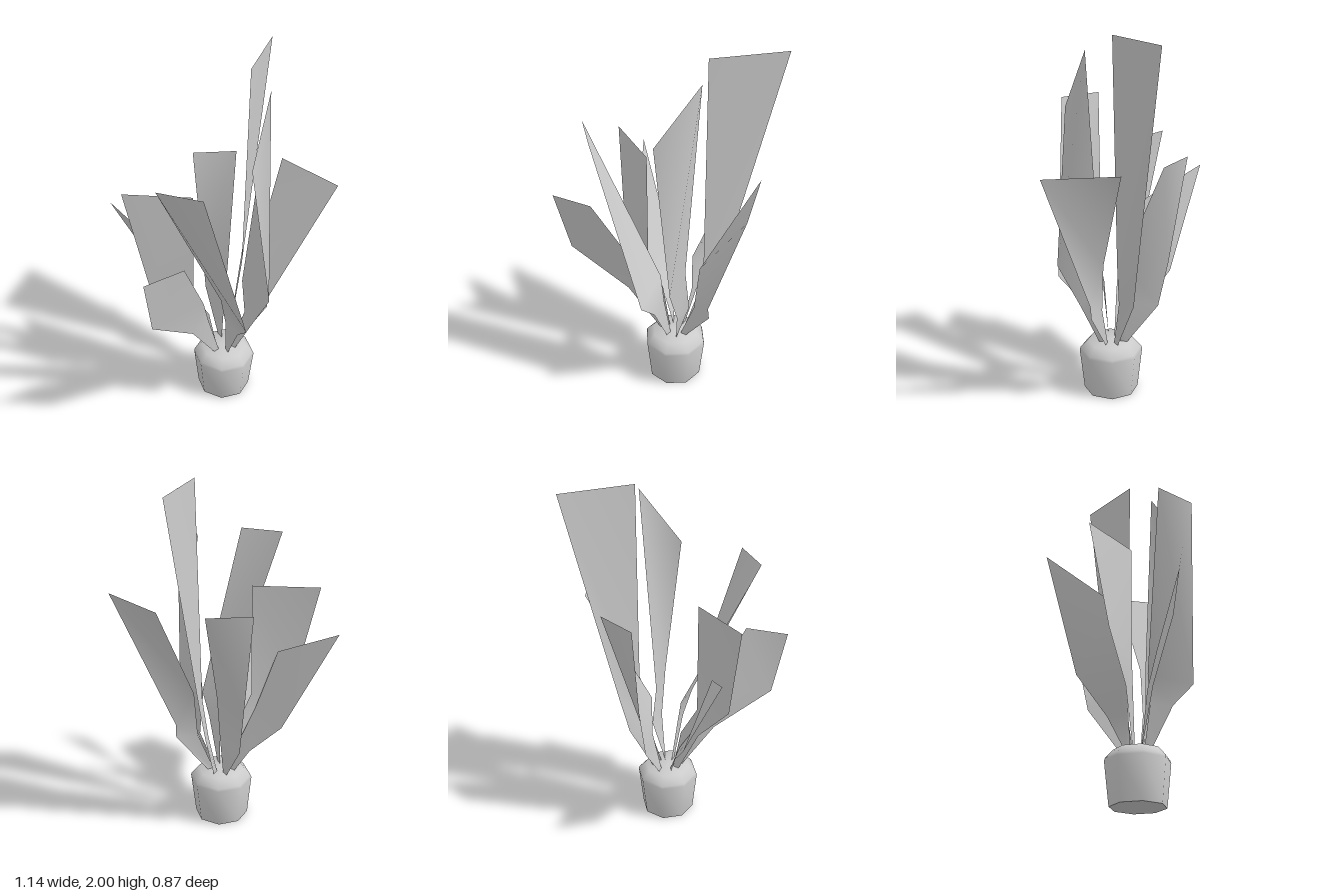
import * as THREE from 'three';
import { toCreasedNormals } from 'three/addons/utils/BufferGeometryUtils.js';

const potX = 0.075, potZ = 0.09;
const grey = new THREE.MeshStandardMaterial({ color: 0xcccccc });
const leafGrey = new THREE.MeshStandardMaterial({ color: 0xcccccc, side: THREE.DoubleSide });

// A leaf blade is a ribbon: each row holds its two edge points [x,y,z, x,y,z], root to tip
function leaf(name, rows) {
  const index = [];
  for (let i = 0; i < rows.length - 1; i++) {
    const a = i * 2;
    index.push(a, a + 1, a + 3, a, a + 3, a + 2);
  }
  const geometry = new THREE.BufferGeometry();
  geometry.setAttribute('position', new THREE.Float32BufferAttribute(rows.flat(), 3));
  geometry.setIndex(index);
  geometry.computeVertexNormals();
  const mesh = new THREE.Mesh(geometry, leafGrey);
  mesh.name = name;
  return mesh;
}

export function createModel() {
  const plant = new THREE.Group();
  plant.name = 'pottedPlant';

  // Eight-sided pot with a bevelled rim
  const profile = [[0, 0], [0.15, 0], [0.175, 0.235], [0.17, 0.25], [0.13, 0.295], [0, 0.295]]
    .map(([r, y]) => new THREE.Vector2(r, y));
  const pot = new THREE.Mesh(toCreasedNormals(new THREE.LatheGeometry(profile, 8), 0.95), grey);
  pot.name = 'pot';
  pot.position.set(potX, 0, potZ);
  plant.add(pot);

  // Blades fanning out around the pot, each standing edge-on to the centre at its root
  const blades = {
    tallRightLeaf: [
      [0.115, 0.28, 0.075, 0.15, 0.28, 0.06],
      [0.195, 0.56, 0.05, 0.27, 0.58, -0.025],
      [0.225, 0.80, 0.06, 0.32, 0.80, -0.04],
      [0.228, 2.00, 0.08, 0.57, 2.00, -0.13]],
    tallFrontLeaf: [
      [0.10, 0.28, 0.15, 0.09, 0.28, 0.12],
      [0.14, 0.53, 0.255, 0.175, 0.53, 0.15],
      [0.14, 0.77, 0.375, 0.15, 0.77, 0.148],
      [0.035, 1.61, 0.316, 0.24, 1.93, 0.212]],
    frontLeftLeaf: [
      [0.05, 0.28, 0.15, 0.06, 0.28, 0.12],
      [0.015, 0.53, 0.27, 0.03, 0.53, 0.15],
      [-0.02, 0.64, 0.375, 0.005, 0.70, 0.136],
      [-0.29, 1.59, 0.34, -0.414, 1.59, 0.135]],
    lowLeftLeaf: [
      [0.0, 0.28, 0.10, 0.03, 0.28, 0.10],
      [-0.19, 0.56, 0.13, -0.07, 0.58, 0.12],
      [-0.50, 0.81, 0.18, -0.14, 0.77, 0.16],
      [-0.57, 1.155, 0.22, -0.34, 1.155, 0.25]],
    backLeftLeaf: [
      [0.01, 0.28, 0.055, 0.04, 0.28, 0.07],
      [-0.12, 0.58, 0.0, -0.01, 0.55, 0.055],
      [-0.30, 0.82, -0.11, -0.105, 0.73, 0.035],
      [-0.365, 1.375, -0.225, -0.105, 1.375, 0.035]],
    lowBackLeaf: [
      [0.045, 0.28, 0.02, 0.055, 0.28, 0.05],
      [0.005, 0.45, -0.08, -0.005, 0.46, 0.03],
      [-0.075, 0.64, -0.25, -0.11, 0.64, 0.01],
      [-0.30, 1.19, -0.435, -0.20, 1.00, -0.075]],
    backRightLeaf: [
      [0.105, 0.28, 0.01, 0.10, 0.28, 0.04],
      [0.15, 0.53, -0.165, 0.145, 0.55, 0.01],
      [0.165, 0.785, -0.215, 0.15, 0.79, 0.025],
      [0.175, 1.375, -0.305, 0.37, 1.375, -0.165]],
    frontRightLeaf: [
      [0.11, 0.28, 0.108, 0.14, 0.28, 0.115],
      [0.20, 0.53, 0.14, 0.305, 0.53, 0.20],
      [0.225, 0.80, 0.132, 0.30, 0.60, 0.205],
      [0.51, 1.375, 0.05, 0.54, 1.375, 0.433]],
  };
  for (const [name, rows] of Object.entries(blades)) plant.add(leaf(name, rows));

  return plant;
}
